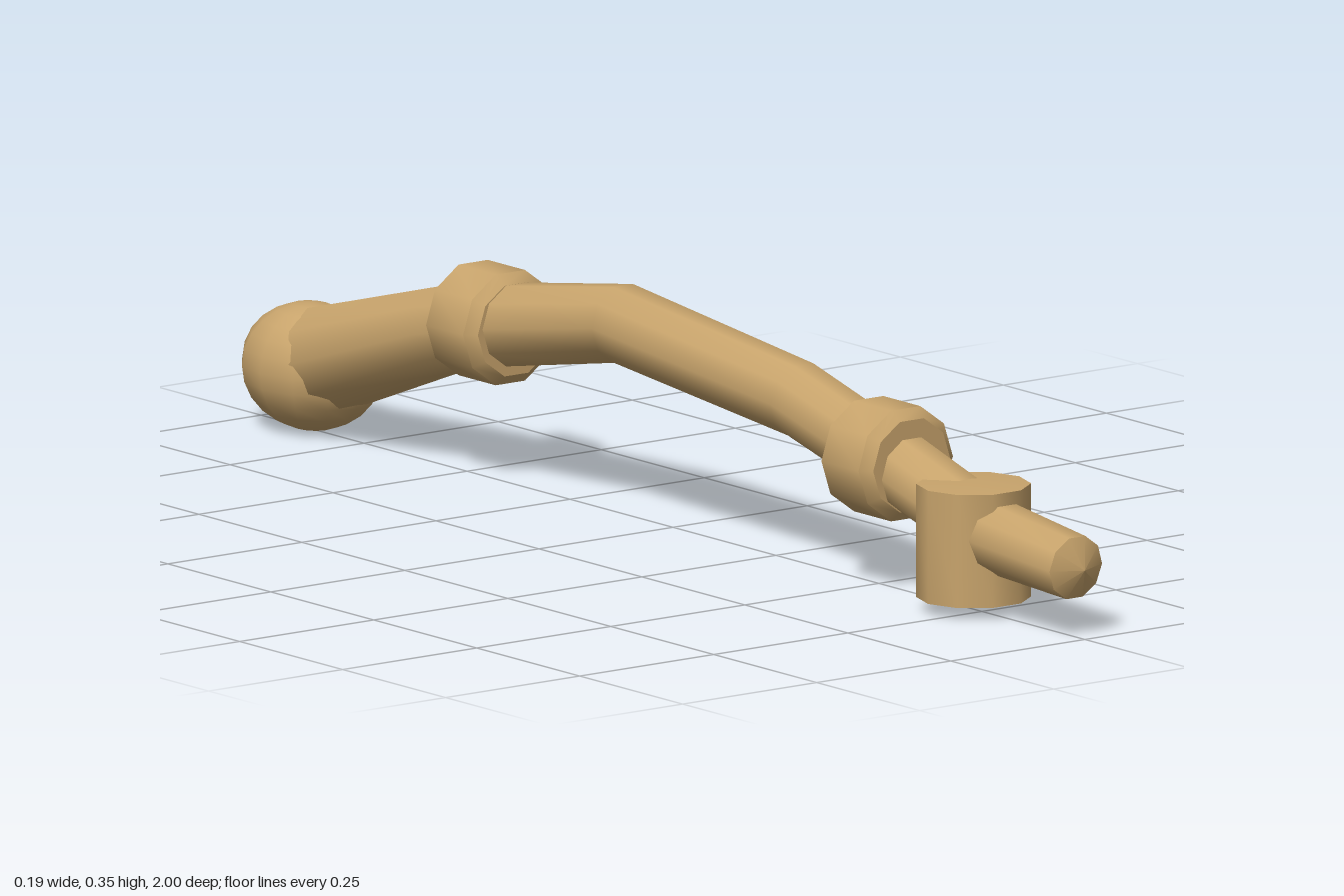
import * as THREE from 'three';
import { toCreasedNormals } from 'three/addons/utils/BufferGeometryUtils.js';

const SIDES = 10;

// Sweeps a ten-sided ring through [z, y, radius] stations running front to back.
function sweep(stations) {
  const pos = [], index = [];
  stations.forEach(([z, y, r], i) => {
    const p = stations[Math.max(i - 1, 0)];
    const n = stations[Math.min(i + 1, stations.length - 1)];
    const tilt = Math.atan2(n[1] - p[1], p[0] - n[0]);
    for (let s = 0; s < SIDES; s++) {
      const a = (s / SIDES) * Math.PI * 2;
      const up = Math.sin(a) * r;
      pos.push(Math.cos(a) * r, y + up * Math.cos(tilt), z + up * Math.sin(tilt));
    }
  });
  for (let i = 0; i < stations.length - 1; i++) {
    for (let s = 0; s < SIDES; s++) {
      const a = i * SIDES + s, b = i * SIDES + ((s + 1) % SIDES);
      const c = a + SIDES, d = b + SIDES;
      if (stations[i][2] > 0) index.push(a, c, b);
      if (stations[i + 1][2] > 0) index.push(b, c, d);
    }
  }
  const geo = new THREE.BufferGeometry();
  geo.setAttribute('position', new THREE.Float32BufferAttribute(pos, 3));
  geo.setIndex(index);
  return toCreasedNormals(geo, 0.7);
}

export function createModel() {
  const group = new THREE.Group();
  const wood = new THREE.MeshStandardMaterial({ color: 0xc8a46c });
  wood.name = 'tan wood';

  function add(name, geometry) {
    const mesh = new THREE.Mesh(geometry, wood);
    mesh.name = name;
    group.add(mesh);
    return mesh;
  }

  // Thin front peg, running into the upright post
  add('peg', sweep([
    [1.0, 0.104, 0], [0.978, 0.105, 0.049], [0.8, 0.119, 0.055], [0.73, 0.126, 0.055], [0.725, 0.126, 0],
  ]));

  // Bent shaft, thickening toward the back
  add('shaft', sweep([
    [0.73, 0.136, 0], [0.725, 0.137, 0.055], [0.57, 0.18, 0.056], [0.31, 0.246, 0.057],
    [-0.12, 0.288, 0.06], [-0.44, 0.232, 0.064], [-0.55, 0.206, 0.068],
    [-0.83, 0.115, 0.083], [-0.87, 0.102, 0],
  ]));

  // Bevelled collars
  const collar = (z, y) => sweep([
    [z + 0.06, y, 0], [z + 0.06, y, 0.072], [z + 0.045, y, 0.088],
    [z - 0.045, y, 0.088], [z - 0.06, y, 0.072], [z - 0.06, y, 0],
  ]);
  add('frontCollar', collar(0.52, 0.192));
  add('backCollar', collar(-0.44, 0.235));

  // Upright post with slightly raised end caps
  const profile = [[0, 0.013], [0.085, 0.019], [0.085, 0.19], [0, 0.195]]
    .map(([r, y]) => new THREE.Vector2(r, y));
  const post = add('post', toCreasedNormals(
    new THREE.LatheGeometry(profile, SIDES, Math.PI / 2), 0.7));
  post.position.z = 0.73;

  // Rounded knob at the back end
  const knob = add('knob', new THREE.SphereGeometry(0.096, 12, 12));
  knob.scale.z = 1.28;
  knob.position.set(0, 0.096, -0.877);

  return group;
}
